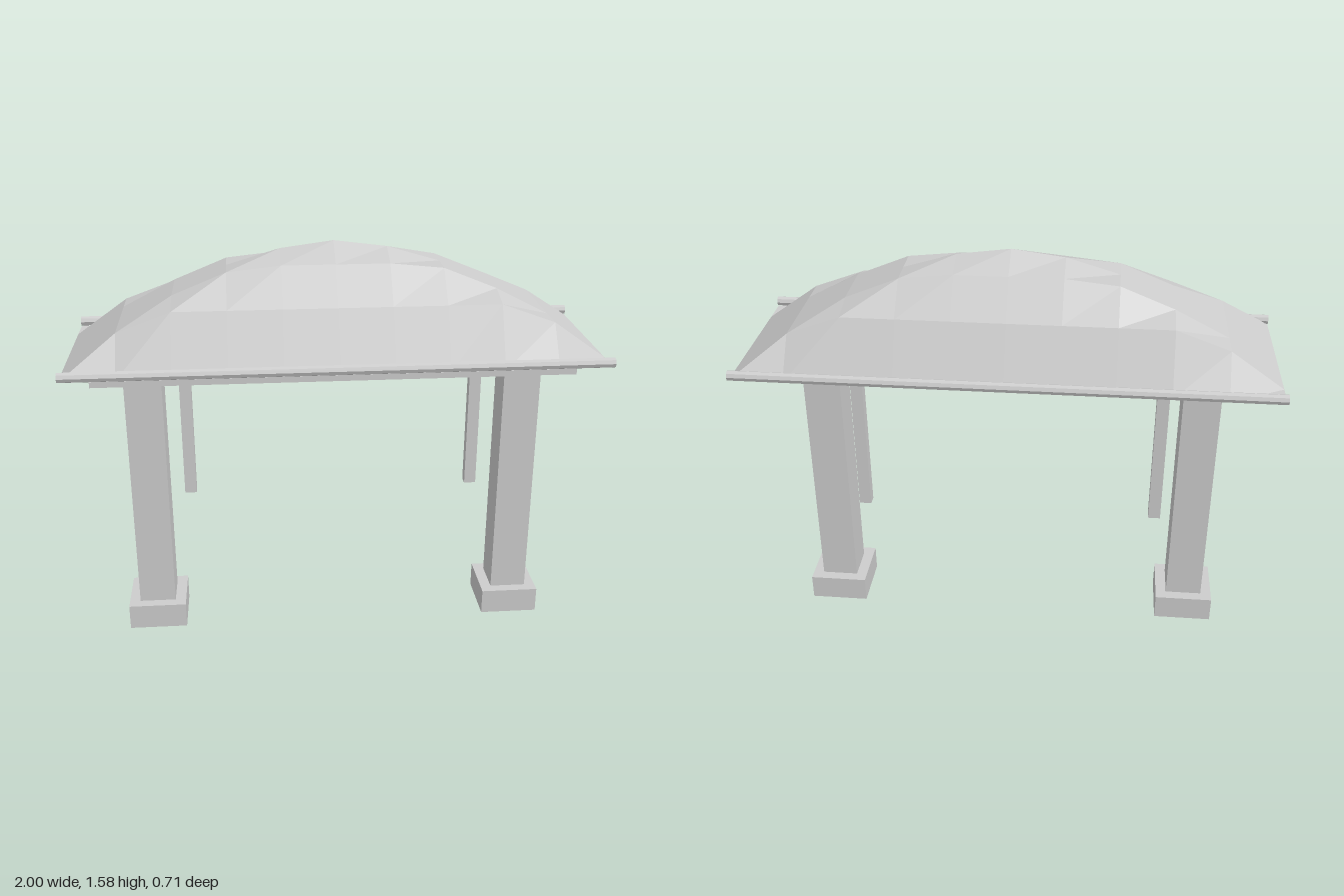
import * as THREE from 'three';

export function createModel() {
  const model = new THREE.Group();
  model.name = 'shelter';

  const stone = new THREE.MeshStandardMaterial({ color: 0xcccccc, flatShading: true });
  stone.name = 'pale grey';
  stone.side = THREE.DoubleSide; // the roof is an open sheet

  function add(name, geometry, x, y, z) {
    const mesh = new THREE.Mesh(geometry, stone);
    mesh.name = name;
    mesh.position.set(x, y, z);
    model.add(mesh);
    return mesh;
  }

  // Box given by its bottom and top heights
  function block(name, w, d, y0, y1, x = 0, z = 0) {
    return add(name, new THREE.BoxGeometry(w, y1 - y0, d), x, (y0 + y1) / 2, z);
  }

  // Vaulted roof: a grid whose height is the lower of two arches
  const eaves = 1.165;
  const alongX = [1.576, 1.55, 1.491, 1.41, 1.307, eaves];
  const alongZ = [1.576, 1.512, 1.38, eaves];
  const halfDepth = 0.333;
  const roof = new THREE.PlaneGeometry(2, halfDepth * 2, 10, 6);
  roof.rotateX(-Math.PI / 2);
  const p = roof.attributes.position;
  for (let i = 0; i < p.count; i++) {
    const ix = Math.round(Math.abs(p.getX(i)) * 5);
    const iz = Math.round((Math.abs(p.getZ(i)) / halfDepth) * 3);
    p.setY(i, Math.min(alongX[ix], alongZ[iz]));
  }
  roof.computeVertexNormals();
  add('roof', roof, 0, 0, 0);

  // Round rails along both eaves
  for (const s of [-1, 1]) {
    const rail = new THREE.CylinderGeometry(0.019, 0.019, 2, 8);
    rail.rotateZ(Math.PI / 2);
    add(s > 0 ? 'frontEavesRail' : 'backEavesRail', rail, 0, 1.185, s * 0.335);
  }

  // Beam under the roof
  block('beam', 1.834, 0.332, 1.08, 1.165);

  // Posts, footings and hanging strips, mirrored
  for (const s of [-1, 1]) {
    const side = s > 0 ? 'left' : 'right';
    block(side + 'Post', 0.144, 0.146, 0.1, 1.08, s * 0.733);
    block(side + 'Footing', 0.23, 0.23, 0, 0.102, s * 0.733);
    block(side + 'HangingStrip', 0.047, 0.04, 0.513, 1.08, s * 0.583, -0.108);
  }

  return model;
}
